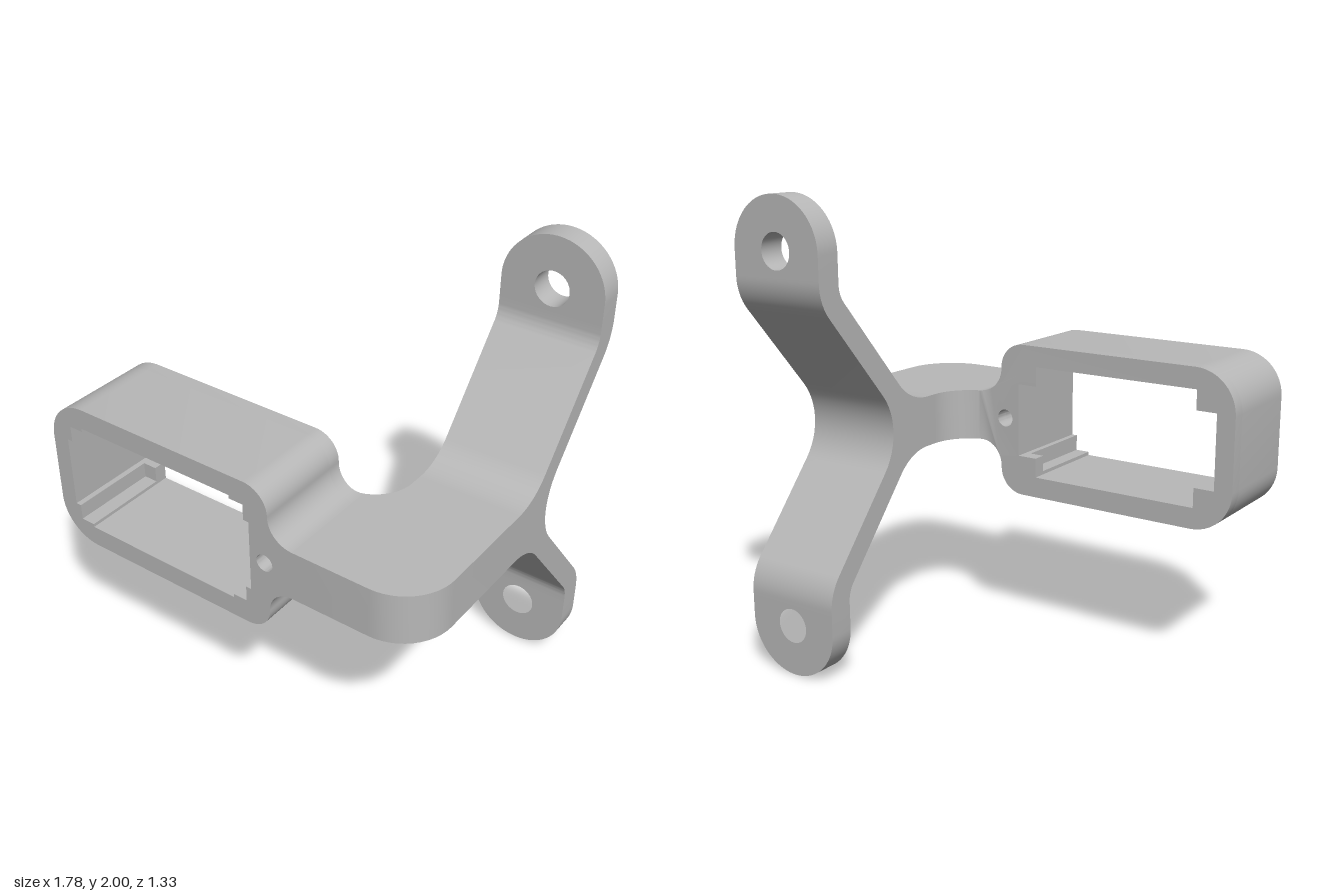
import * as THREE from 'three';
import { toCreasedNormals } from 'three/addons/utils/BufferGeometryUtils.js';

// Polygon corners [x, y, radius] turned into a list of points with true arcs
function rounded(corners, steps = 12) {
  const out = [], n = corners.length;
  const add = (p) => { if (!out.length || out[out.length - 1].distanceTo(p) > 1e-4) out.push(p); };
  corners.forEach(([x, y, r = 0], i) => {
    const p = new THREE.Vector2(x, y);
    if (!r) return add(p);
    const a = corners[(i + n - 1) % n], b = corners[(i + 1) % n];
    const u = new THREE.Vector2(a[0] - x, a[1] - y).normalize();
    const v = new THREE.Vector2(b[0] - x, b[1] - y).normalize();
    const half = Math.acos(u.dot(v)) / 2;
    const centre = p.clone().add(u.clone().add(v).normalize().multiplyScalar(r / Math.sin(half)));
    const start = p.clone().addScaledVector(u, r / Math.tan(half)).sub(centre);
    const end = p.clone().addScaledVector(v, r / Math.tan(half)).sub(centre);
    const sweep = Math.atan2(start.cross(end), start.dot(end));
    for (let k = 0; k <= steps; k++) {
      add(start.clone().rotateAround(new THREE.Vector2(), (sweep * k) / steps).add(centre));
    }
  });
  return out;
}

const extrude = (shape, depth) =>
  new THREE.ExtrudeGeometry(shape, { depth, bevelEnabled: false, curveSegments: 20 });

const circle = (x, y, r) => new THREE.Path().absarc(x, y, r, 0, Math.PI * 2, true);

// One quadrant of the window mirrored into all four
function windowPath(quadrant) {
  const pts = [];
  [[1, 1], [-1, 1], [-1, -1], [1, -1]].forEach(([sx, sy], i) => {
    const q = i % 2 ? [...quadrant].reverse() : quadrant;
    q.forEach(([x, y]) => pts.push(new THREE.Vector2(-0.34 + sx * x, 1 + sy * y)));
  });
  return new THREE.Path(pts);
}

export function createModel() {
  const model = new THREE.Group();
  model.name = 'mountingBracket';
  const grey = new THREE.MeshStandardMaterial({ color: 0xb8b8b8 });
  grey.name = 'plainGrey';
  const add = (name, geometry) => {
    const mesh = new THREE.Mesh(toCreasedNormals(geometry, 0.5), grey);
    mesh.name = name;
    model.add(mesh);
  };

  // Inner elbow curve: centre and radius in plan
  const ex = 0.265, ez = 0.04, er = 0.18, joinX = 0.33;

  // Holder frame, with the root of the arm and a small through hole
  const outline = rounded([
    [-0.89, 0.665, 0.18], [0.22, 0.665, 0.11], [0.22, 0.89, 0.11], [joinX, 0.89],
    [joinX, 1.11], [0.22, 1.11, 0.11], [0.22, 1.335, 0.11], [-0.89, 1.335, 0.18],
  ]);
  const frameLayer = (name, quadrant, z0, z1) => {
    const shape = new THREE.Shape(outline);
    shape.holes.push(windowPath(quadrant), circle(0.2, 1, 0.038));
    const geo = extrude(shape, z1 - z0).translate(0, 0, z0);
    // Let the back of the arm root follow the inner elbow curve
    const pos = geo.attributes.position;
    for (let i = 0; i < pos.count; i++) {
      const dx = pos.getX(i) - ex;
      if (dx > 0 && pos.getZ(i) < 0.23) pos.setZ(i, ez + Math.sqrt(er * er - dx * dx));
    }
    add(name, geo);
  };
  frameLayer('notchedFrame',
    [[0.47, 0.16], [0.445, 0.16], [0.445, 0.23], [0.38, 0.23], [0.38, 0.245]], 0.28, 0.665);
  frameLayer('frameBackStops', [[0.47, 0.16], [0.38, 0.16], [0.38, 0.245]], 0.22, 0.28);

  // Elbow arm, drawn in plan
  const plan = rounded([[joinX, 0.665], [0.89, 0.665, 0.22], [0.89, ez]]);
  const endAngle = Math.acos((joinX - ex) / er);
  for (let k = 0; k <= 14; k++) {
    const a = (endAngle * k) / 14;
    plan.push(new THREE.Vector2(ex + er * Math.cos(a), ez + er * Math.sin(a)));
  }
  add('elbowArm', extrude(new THREE.Shape(plan), 0.22).rotateX(Math.PI / 2).translate(0, 1.11, 0));

  // Forked legs, drawn from the side as z and y
  const padY = 1.69;
  const upper = [
    [ez, 1.11], [-0.131, 1.11, 0.24], [-0.555, 1.614, 0.12], [-0.555, padY],
    [-0.665, padY], [-0.665, 1.59, 0.22],
  ];
  const lower = [...upper].reverse().map(([z, y, r]) => [z, 2 - y, r]);
  const fork = new THREE.Shape(rounded([...upper, [-0.169, 1, 0.257], ...lower]));
  add('forkedLegs', extrude(fork, 0.445).rotateY(-Math.PI / 2).translate(0.89, 0, 0));

  // Round-ended screw pads
  const cx = 0.6675, r = 0.2225;
  [1, -1].forEach((s) => {
    const y = (v) => 1 + s * (v - 1);
    const pad = new THREE.Shape();
    pad.moveTo(cx - r, y(padY));
    pad.lineTo(cx + r, y(padY));
    pad.absarc(cx, y(1.7775), r, 0, s * Math.PI, s < 0);
    pad.holes.push(circle(cx, y(1.78), 0.075));
    add(s > 0 ? 'upperScrewPad' : 'lowerScrewPad', extrude(pad, 0.11).translate(0, 0, -0.665));
  });

  return model;
}
